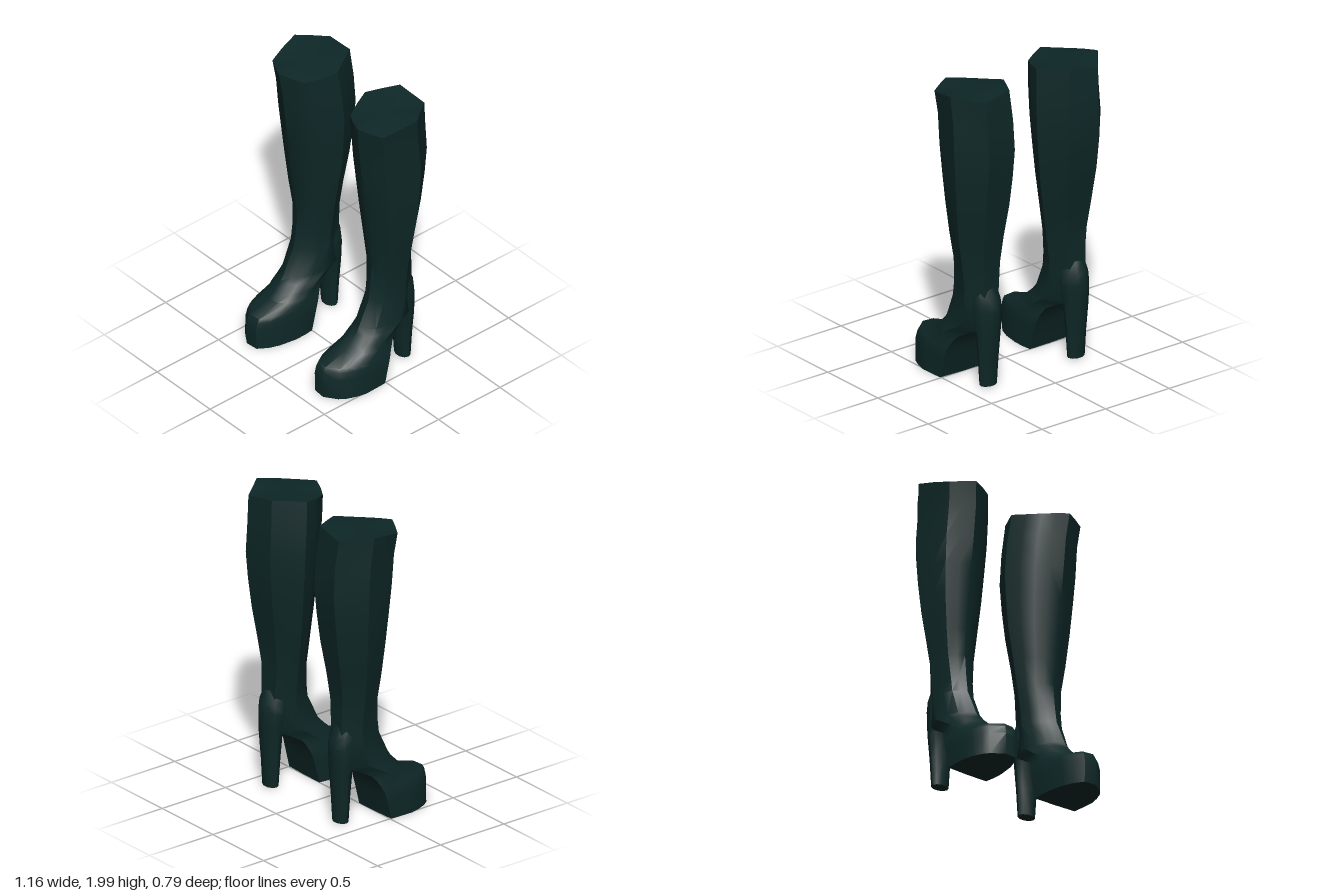
import * as THREE from 'three';
import { toCreasedNormals } from 'three/addons/utils/BufferGeometryUtils.js';

// Plan outlines in unit coordinates: [inner to outer, back to front]
const LEG = [[.24, .04], [.47, .02], [.7, 0], [.86, .2], [1, .36], [.94, .62], [.87, .84],
  [.7, .93], [.54, 1], [.36, .93], [.19, .84], [.08, .64], [0, .44], [.12, .24]];
const FOOT = [[.02, 0], [.5, 0], [.98, .02], [.99, .17], [1, .43], [.95, .6], [.87, .76],
  [.78, .86], [.53, 1], [.27, .98], [.14, .82], [.06, .64], [0, .35], [0, .15]];
const ROUND = Array.from({ length: 10 }, (_, i) => {
  const a = (i + .5) / 10 * Math.PI * 2;
  return [.5 + .5 * Math.sin(a), .5 - .5 * Math.cos(a)];
});

// One horizontal ring, blending outline a towards outline b
function ring(y, x0, x1, zb, zf, t, a, b) {
  return a.map(([u, v], i) => {
    const p = u + (b[i][0] - u) * t, q = v + (b[i][1] - v) * t;
    return [x0 + (x1 - x0) * p, y, zb + (zf - zb) * q];
  });
}

// Skin rings from bottom to top with both ends closed
function loft(rings, side) {
  const n = rings[0].length, pos = [], idx = [];
  const centre = r => [0, 1, 2].map(k => r.reduce((s, p) => s + p[k], 0) / n);
  const tri = (a, b, c) => side > 0 ? idx.push(a, b, c) : idx.push(a, c, b);
  const last = rings.length - 1, bottom = rings.length * n;
  for (const p of [...rings.flat(), centre(rings[0]), centre(rings[last])]) {
    pos.push(p[0] * side, p[1], p[2]);
  }
  for (let j = 0; j < n; j++) {
    const k = (j + 1) % n;
    for (let i = 0; i < last; i++) {
      const a = i * n + j, b = i * n + k;
      tri(a, a + n, b + n);
      tri(a, b + n, b);
    }
    tri(bottom, j, k);
    tri(bottom + 1, last * n + k, last * n + j);
  }
  const g = new THREE.BufferGeometry();
  g.setAttribute('position', new THREE.Float32BufferAttribute(pos, 3));
  g.setIndex(idx);
  return toCreasedNormals(g, .75);
}

// y, inner x, outer x, back z, front z, blend from leg to foot outline
const UPPER = [
  [.01, .19, .51, 0, .39, 1],
  [.15, .192, .508, -.035, .395, 1],
  [.2, .195, .503, -.05, .383, 1],
  [.225, .2, .495, -.06, .368, 1],
  [.27, .207, .488, -.08, .21, .9],
  [.31, .21, .485, -.11, .17, .65],
  [.36, .212, .48, -.2, .12, .35],
  [.4, .215, .475, -.29, .095, .2],
  [.57, .22, .47, -.3, .015, 0],
  [.67, .215, .472, -.3, 0, 0],
  [.83, .19, .49, -.293, -.015, 0],
  [1, .165, .52, -.315, .005, 0],
  [1.22, .132, .55, -.352, .03, 0],
  [1.42, .115, .566, -.377, .055, 0],
  [1.6, .105, .575, -.392, .078, 0],
  [1.8, .112, .57, -.38, .1, 0],
  [1.97, .13, .58, -.362, .12, 0],
];
// Dipping front and raised back of the top edge
const TOP_EDGE = [2, 1.985, 1.97, 1.985, 1.99, 1.965, 1.94, 1.95, 1.96, 1.95, 1.94, 1.955, 1.975, 1.99];

const HEEL = [
  [.02, .285, .405, -.312, -.225],
  [.2, .275, .415, -.322, -.213],
  [.36, .262, .428, -.334, -.2],
  [.43, .252, .437, -.338, -.17],
  [.52, .245, .442, -.343, -.14],
  [.59, .25, .438, -.335, -.14],
  [.67, .265, .425, -.298, -.14],
];

export function createModel() {
  const model = new THREE.Group();
  const leather = new THREE.MeshStandardMaterial({ color: 0x0e2727 });
  leather.name = 'dark teal leather';

  for (const side of [1, -1]) {
    const boot = new THREE.Group();
    boot.name = side > 0 ? 'leftBoot' : 'rightBoot';

    // Shaft, ankle and platform foot in one skin
    const rings = UPPER.map(r => ring(...r, LEG, FOOT));
    rings[rings.length - 1].forEach((p, i) => { p[1] = TOP_EDGE[i]; });
    const upper = new THREE.Mesh(loft(rings, side), leather);
    upper.name = 'shaftAndFoot';

    // Tall heel swelling into the back of the ankle
    const heel = new THREE.Mesh(loft(HEEL.map(r => ring(...r, 0, ROUND, ROUND)), side), leather);
    heel.name = 'heel';

    boot.add(upper, heel);
    model.add(boot);
  }
  return model;
}
